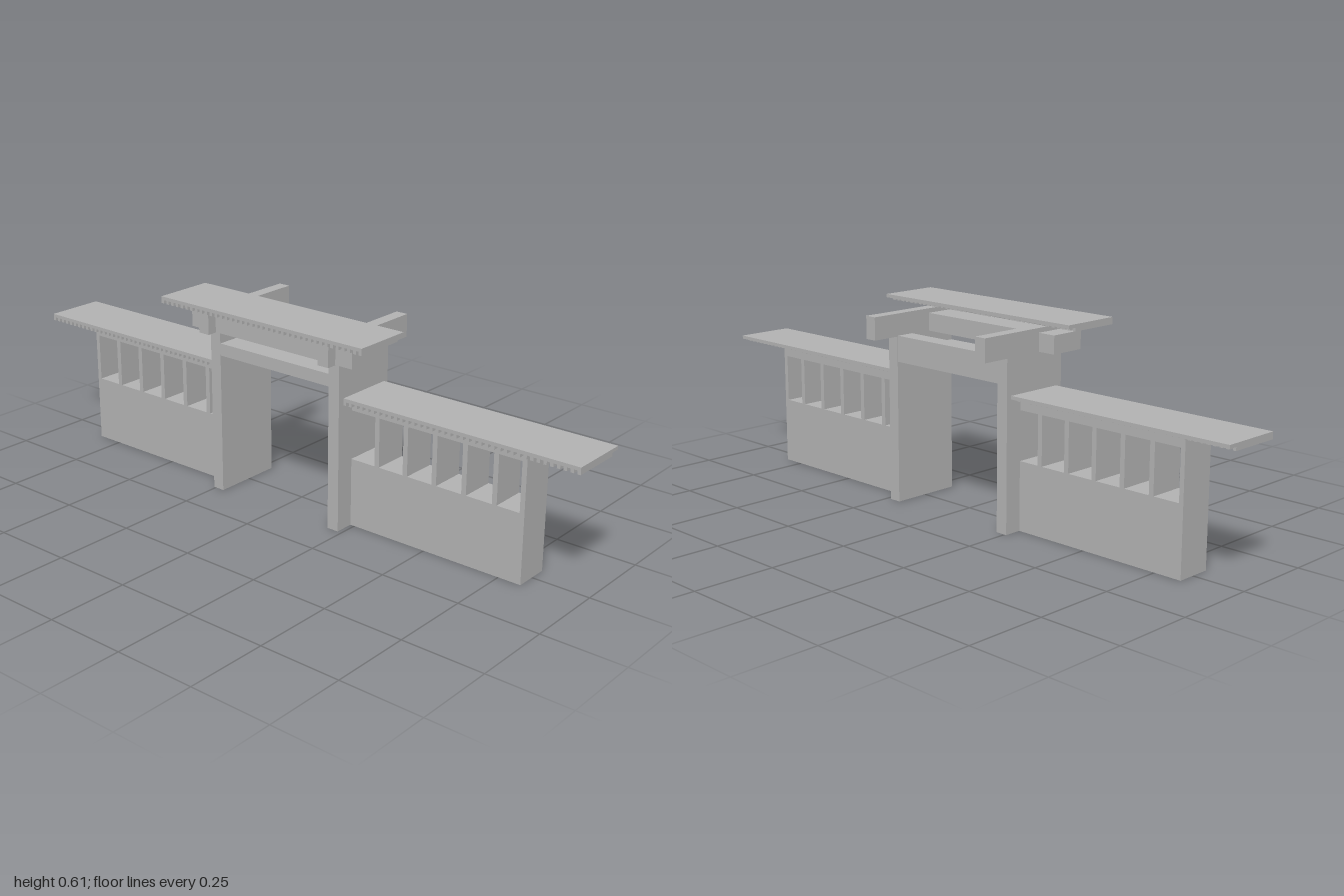
import * as THREE from 'three';

export function createModel() {
  const model = new THREE.Group();
  model.name = 'gateway';
  const stone = new THREE.MeshStandardMaterial({ color: 0xb2b2b2 });
  stone.name = 'plain grey';

  // Box given by its limits on each axis
  function block(name, [x0, x1], [y0, y1], [z0, z1], parent = model) {
    const mesh = new THREE.Mesh(new THREE.BoxGeometry(x1 - x0, y1 - y0, z1 - z0), stone);
    mesh.position.set((x0 + x1) / 2, (y0 + y1) / 2, (z0 + z1) / 2);
    mesh.name = name;
    parent.add(mesh);
  }

  // Closed outline extruded along its own z
  function extrude(name, shape, depth) {
    const mesh = new THREE.Mesh(
      new THREE.ExtrudeGeometry(shape, { depth, bevelEnabled: false }), stone);
    mesh.name = name;
    model.add(mesh);
    return mesh;
  }
  const outline = (pts) => new THREE.Shape(pts.map(([x, y]) => new THREE.Vector2(x, y)));
  const rect = (x0, x1, y0, y1) => [[x0, y0], [x1, y0], [x1, y1], [x0, y1]];

  // Gate pillars, T-shaped from the side (profile in -z, y)
  const pillarProfile = [
    [-0.118, 0], [0.108, 0], [0.108, 0.517], [0.197, 0.517],
    [0.197, 0.587], [-0.167, 0.587], [-0.167, 0.517], [-0.118, 0.517],
  ];
  for (const [name, x] of [['rightPillar', -0.257], ['leftPillar', 0.198]]) {
    const pillar = extrude(name, outline(pillarProfile), 0.038);
    pillar.rotation.y = Math.PI / 2;
    pillar.position.x = x;
  }

  // Beams joining the pillars
  block('lintelSlab', [-0.22, 0.199], [0.44, 0.478], [-0.107, 0.117]);
  block('backBeam', [-0.22, 0.196], [0.478, 0.52], [-0.107, -0.05]);
  block('crossBeam', [-0.315, 0.295], [0.518, 0.573], [0.022, 0.136]);

  // Side walls with a row of six open windows
  function wall(name, x0, x1, firstWindow, windowLimit) {
    const shape = outline(rect(x0, x1, 0, 0.387));
    for (let i = 0; i < 6; i++) {
      const a = firstWindow + i * 0.0995;
      const b = Math.min(a + 0.084, windowLimit);
      shape.holes.push(outline(rect(a, b, 0.21, 0.36)));
    }
    extrude(name, shape, 0.111).position.z = -0.053;
  }
  wall('rightWall', -0.837, -0.225, -0.823, -0.24);
  wall('leftWall', 0.21, 0.821, 0.236, 0.806);

  // Flat roofs carried on rows of small slats running front to back
  function roof(name, x0, x1, y, front) {
    const group = new THREE.Group();
    group.name = name;
    block('roofSlab', [x0, x1], [y, y + 0.0105], [front - 0.188, front], group);
    const count = Math.round((x1 - x0) / 0.02);
    const pitch = (x1 - x0 - 0.01) / count;
    for (let i = 0; i <= count; i++) {
      const x = x0 + i * pitch;
      block('roofSlat', [x, x + 0.01], [y - 0.0105, y], [front - 0.161, front], group);
    }
    model.add(group);
  }
  roof('rightRoof', -1, -0.257, 0.3975, 0.097);
  roof('leftRoof', 0.235, 1, 0.3975, 0.097);
  roof('gateRoof', -0.38, 0.376, 0.6015, 0.198);

  return model;
}
